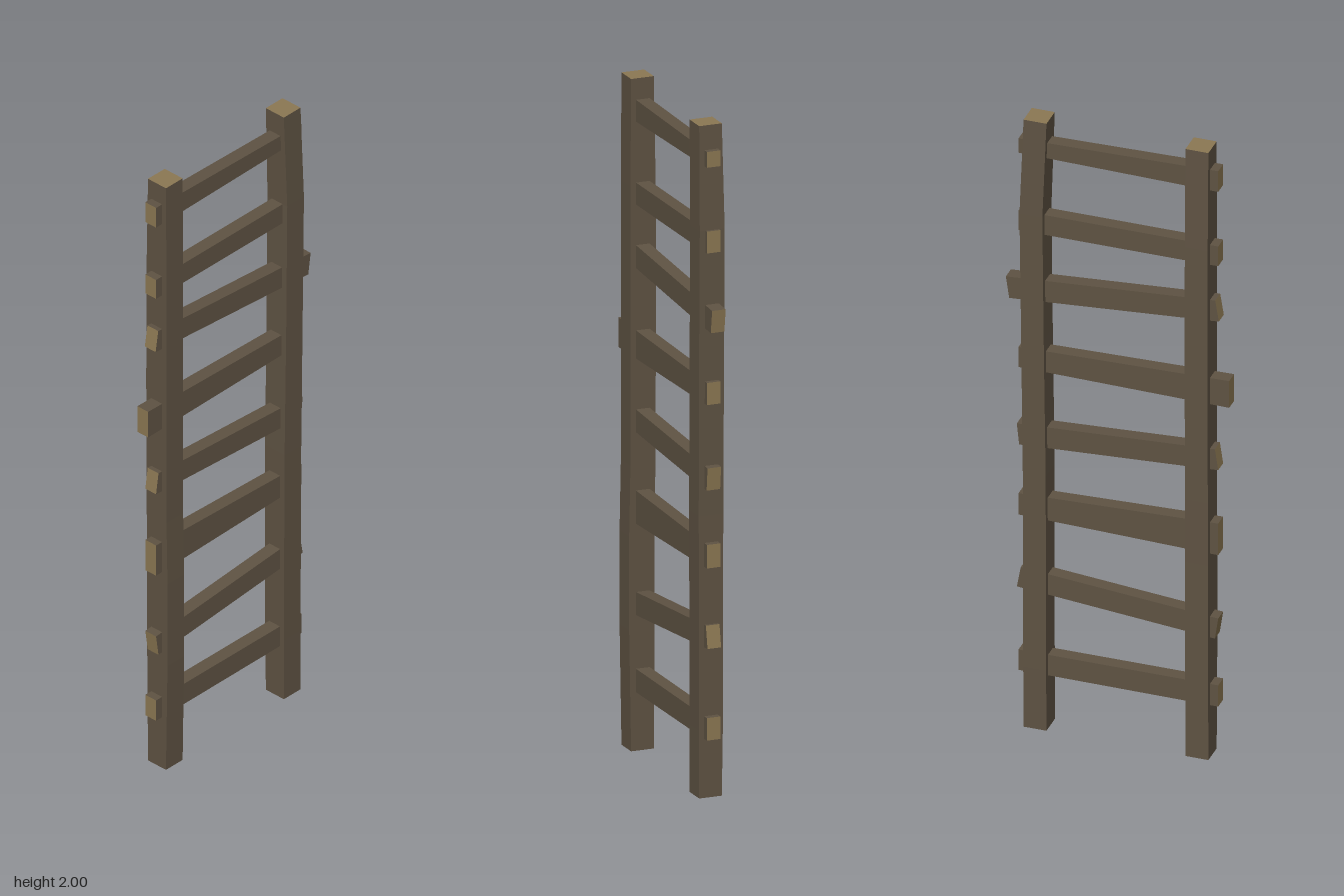
import * as THREE from 'three';

const wood = new THREE.MeshStandardMaterial({ color: 0x5f5343, flatShading: true });
wood.name = 'weathered wood';
const endGrain = new THREE.MeshStandardMaterial({ color: 0x8c7853, flatShading: true });
endGrain.name = 'cut end grain';

// Skins four-cornered rings (counter-clockwise seen from the far end):
// sides use material 0, the two sawn ends use material 1.
function beam(name, rings) {
  const pos = [];
  const quad = (a, b, c, d) => [a, b, c, a, c, d].forEach((p) => pos.push(...p));
  for (let i = 0; i < rings.length - 1; i++) {
    for (let k = 0; k < 4; k++) {
      const n = (k + 1) % 4;
      quad(rings[i][k], rings[i][n], rings[i + 1][n], rings[i + 1][k]);
    }
  }
  const sideCount = pos.length / 3;
  const first = rings[0], last = rings[rings.length - 1];
  quad(...last);
  quad(first[3], first[2], first[1], first[0]);
  const geo = new THREE.BufferGeometry();
  geo.setAttribute('position', new THREE.Float32BufferAttribute(pos, 3));
  geo.addGroup(0, sideCount, 0);
  geo.addGroup(sideCount, 12, 1);
  geo.computeVertexNormals();
  const mesh = new THREE.Mesh(geo, [wood, endGrain]);
  mesh.name = name;
  return mesh;
}

// Upright post; each section is [y, xMin, xMax, zBack, zFront]
function post(name, sections) {
  return beam(name, sections.map(([y, x0, x1, z0, z1]) => [
    [x1, y, z1], [x1, y, z0], [x0, y, z0], [x0, y, z1],
  ]));
}

// Rung; each end is [xBottom, yBottom, xTop, yTop]
function rung(name, ends) {
  const z0 = -0.022, z1 = 0.02;
  return beam(name, ends.map(([xb, yb, xt, yt]) => [
    [xb, yb, z1], [xb, yb, z0], [xt, yt, z0], [xt, yt, z1],
  ]));
}

export function createModel() {
  const ladder = new THREE.Group();
  ladder.name = 'ladder';

  // Slightly warped posts
  ladder.add(post('rightPost', [
    [0, -0.28, -0.211, -0.035, 0.035],
    [0.36, -0.28, -0.211, -0.038, 0.041],
    [0.64, -0.28, -0.211, -0.038, 0.041],
    [0.85, -0.28, -0.211, -0.04, 0.037],
    [1.3, -0.28, -0.211, -0.042, 0.037],
    [1.68, -0.28, -0.211, -0.041, 0.037],
    [2, -0.28, -0.211, -0.035, 0.035],
  ]));
  ladder.add(post('leftPost', [
    [0, 0.208, 0.277, -0.035, 0.035],
    [0.2, 0.208, 0.277, -0.038, 0.035],
    [0.84, 0.209, 0.278, -0.039, 0.037],
    [1.29, 0.215, 0.283, -0.039, 0.038],
    [1.69, 0.219, 0.288, -0.039, 0.038],
    [2, 0.208, 0.277, -0.035, 0.035],
  ]));

  // Uneven rungs, bottom to top
  const rungs = [
    [[-0.305, 0.174, -0.305, 0.244], [0.297, 0.176, 0.297, 0.243]],
    [[-0.295, 0.396, -0.305, 0.464], [0.302, 0.45, 0.29, 0.516]],
    [[-0.305, 0.673, -0.305, 0.777], [0.297, 0.688, 0.297, 0.758]],
    [[-0.305, 0.953, -0.295, 1.02], [0.295, 0.919, 0.302, 0.987]],
    [[-0.338, 1.165, -0.338, 1.253], [0.297, 1.174, 0.297, 1.24]],
    [[-0.307, 1.443, -0.296, 1.51], [0.325, 1.396, 0.335, 1.465]],
    [[-0.305, 1.625, -0.305, 1.69], [0.297, 1.625, 0.297, 1.69]],
    [[-0.305, 1.87, -0.305, 1.938], [0.297, 1.88, 0.297, 1.927]],
  ];
  rungs.forEach((ends, i) => ladder.add(rung(`rung${i + 1}`, ends)));
  return ladder;
}
